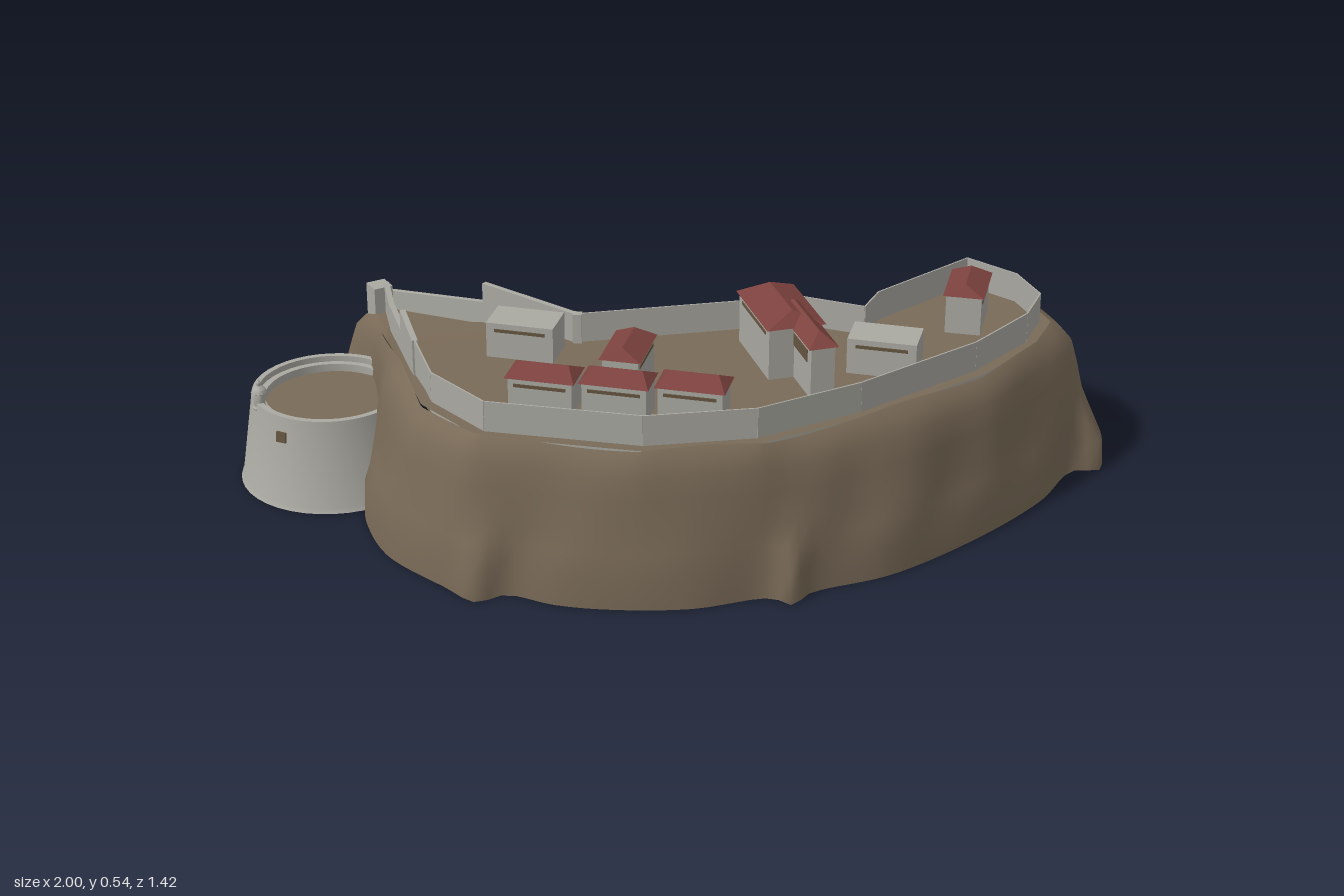
import * as THREE from 'three';
import { toCreasedNormals } from 'three/addons/utils/BufferGeometryUtils.js';

const mat = (name, color) => {
  const m = new THREE.MeshStandardMaterial({ color, side: THREE.DoubleSide });
  m.name = name;
  return m;
};
const rockMat = mat('rock brown', 0x796a57);
const stoneMat = mat('stone grey', 0xa9a8a1);
const roofMat = mat('roof red', 0x7c423e);
const darkMat = mat('opening brown', 0x64543f);

function mesh(parent, name, geo, material, x = 0, y = 0, z = 0) {
  const m = new THREE.Mesh(geo, material);
  m.name = name;
  m.position.set(x, y, z);
  parent.add(m);
  return m;
}

// Foot of the cliff, x and z, clockwise from above
const foot = [
  [-0.93, -0.19], [-0.88, -0.245], [-0.77, -0.235], [-0.72, -0.19], [-0.70, -0.13], [-0.62, -0.085],
  [-0.505, -0.05], [-0.40, 0], [-0.265, -0.04], [-0.16, -0.11], [-0.07, -0.10], [0, -0.19],
  [0.08, -0.24], [0.19, -0.30], [0.30, -0.30], [0.415, -0.29], [0.38, -0.45], [0.415, -0.615],
  [0.5, -0.69], [0.70, -0.71], [0.885, -0.64], [0.965, -0.56], [1.0, -0.45], [0.94, -0.42],
  [0.905, -0.24], [0.81, 0], [0.67, 0.24], [0.525, 0.385], [0.505, 0.45], [0.45, 0.44], [0.30, 0.55],
  [0.135, 0.62], [0, 0.65], [-0.12, 0.65], [-0.17, 0.705], [-0.265, 0.67], [-0.45, 0.59],
  [-0.56, 0.48], [-0.61, 0.40], [-0.71, 0.13], [-0.80, 0.03], [-0.945, -0.01],
];
// Wall line: x, z, then the top height at both ends of the stretch that starts there
const TOP = 0.45;
const wallLine = [
  [-0.79, -0.107, 0.34, 0.40], [-0.47, -0.013, TOP, TOP], [-0.185, 0.07, TOP, TOP],
  [0.28, -0.225, TOP, TOP], [0.445, -0.225, TOP, TOP], [0.45, -0.32, TOP, TOP], [0.595, -0.6, TOP, TOP],
  [0.735, -0.55, TOP, TOP], [0.82, -0.455, TOP, TOP], [0.82, -0.33, TOP, TOP], [0.75, -0.13, TOP, TOP],
  [0.565, 0.175, TOP, TOP], [0.39, 0.385, TOP, TOP], [0.165, 0.515, TOP, TOP], [-0.195, 0.58, TOP, TOP],
  [-0.37, 0.49, TOP, TOP], [-0.48, 0.35, TOP, TOP], [-0.585, 0.205, 0.397, 0.39], [-0.68, 0.075, 0.385, 0.36],
];

// Ground height: level plateau that falls away to the west
const ground = (x) => 0.375 - 0.105 * THREE.MathUtils.clamp((-0.52 - x) / 0.33, 0, 1);

function nearestOnWall(p) {
  let best = null;
  wallLine.forEach((w, i) => {
    const v = wallLine[(i + 1) % wallLine.length];
    const line = new THREE.Line3(new THREE.Vector3(w[0], 0, w[1]), new THREE.Vector3(v[0], 0, v[1]));
    const q = line.closestPointToPoint(p, true, new THREE.Vector3());
    if (!best || q.distanceTo(p) < best.distanceTo(p)) best = q;
  });
  return best;
}

function buildRock(g) {
  const N = 168;
  const curve = new THREE.CatmullRomCurve3(foot.map(([x, z]) => new THREE.Vector3(x, 0, z)), true);
  const base = curve.getSpacedPoints(N).slice(0, N);
  // Softened outline for the upper cliff, so the spurs stay low
  const soft = base.map((_, i) => {
    const s = new THREE.Vector3();
    for (let k = -4; k <= 4; k++) s.add(base[(i + k + N) % N]);
    return s.divideScalar(9);
  });
  const rim = base.map((_, i) => {
    const q = nearestOnWall(soft[i]);
    const d = soft[i].clone().sub(q);
    return q.addScaledVector(d.normalize(), 0.028);
  });
  // [height share, inward share, softening]
  const levels = [[0, 0, 0], [0.2, 0.03, 0.05], [0.36, 0.16, 0.55], [0.5, 0.28, 1], [0.7, 0.42, 1], [0.85, 0.54, 1], [0.95, 0.76, 1], [1, 1, 1]];
  const pos = [], idx = [];
  levels.forEach(([h, s, k], j) => {
    for (let i = 0; i < N; i++) {
      const p = base[i].clone().lerp(soft[i], k).lerp(rim[i], s);
      const ripple = j > 1 && j < 7 ? 0.12 * Math.sin(i * 0.55 + h * 2) * Math.sin(i * 0.21) : 0;
      p.lerp(rim[i], ripple);
      pos.push(p.x, h * (ground(rim[i].x) + 0.006 * Math.sin(i * 0.4)), p.z);
      if (j === levels.length - 1) continue;
      const a = j * N + i, b = j * N + (i + 1) % N;
      idx.push(b, a, a + N, b, a + N, b + N);
    }
  });
  const cliff = new THREE.BufferGeometry();
  cliff.setAttribute('position', new THREE.Float32BufferAttribute(pos, 3));
  cliff.setIndex(idx);
  cliff.computeVertexNormals();
  mesh(g, 'cliff', cliff, rockMat);

  const floor = new THREE.ShapeGeometry(new THREE.Shape(rim.map((p) => new THREE.Vector2(p.x, -p.z))));
  floor.rotateX(-Math.PI / 2);
  const fp = floor.attributes.position;
  for (let i = 0; i < fp.count; i++) fp.setY(i, ground(fp.getX(i)));
  floor.computeVertexNormals();
  mesh(g, 'plateau', floor, rockMat);
}

function buildWalls(g) {
  const walls = new THREE.Group();
  walls.name = 'rampart';
  g.add(walls);
  wallLine.forEach(([x, z, topA, topB], i) => {
    const [x2, z2] = wallLine[(i + 1) % wallLine.length];
    const geo = new THREE.BoxGeometry(Math.hypot(x2 - x, z2 - z), 1, x < -0.45 ? 0.014 : 0.004);
    // Tops and bottoms follow the slope of the ground
    const p = geo.attributes.position;
    for (let k = 0; k < p.count; k++) {
      const atStart = p.getX(k) < 0;
      const low = ground(atStart ? x : x2) - 0.03;
      p.setY(k, p.getY(k) < 0 ? low : atStart ? topA : topB);
    }
    geo.computeVertexNormals();
    mesh(walls, 'wallStretch', geo, stoneMat, (x + x2) / 2, 0, (z + z2) / 2)
      .rotation.y = -Math.atan2(z2 - z, x2 - x);
  });
  // Small posts at the bend and the lower end
  mesh(walls, 'bendPost', new THREE.BoxGeometry(0.022, 0.1, 0.022), stoneMat, -0.185, 0.4, 0.068).rotation.y = 0.3;
  mesh(walls, 'endPost', new THREE.BoxGeometry(0.05, 0.12, 0.05), stoneMat, -0.8, 0.3, -0.088).rotation.y = 0.9;
}

function hipRoof(L, h, W, ridge) {
  const geo = new THREE.BoxGeometry(L, h, W).toNonIndexed();
  const p = geo.attributes.position;
  for (let i = 0; i < p.count; i++) {
    if (p.getY(i) > 0) p.setXYZ(i, p.getX(i) * ridge, h / 2, p.getZ(i) * 0.02);
  }
  geo.computeVertexNormals();
  return geo;
}

// A house with its long side on local x; without a ridge height it has a flat stone roof
function house(g, name, x, z, L, W, yaw, eave, ridge = 0, band = 0.008) {
  const h = new THREE.Group();
  h.name = name;
  h.position.set(x, 0, z);
  h.rotation.y = yaw;
  g.add(h);
  const inset = ridge ? 0.014 : 0;
  const y0 = 0.376;
  mesh(h, 'houseWalls', new THREE.BoxGeometry(L - inset, eave - y0, W - inset), stoneMat, 0, (eave + y0) / 2, 0);
  if (ridge) mesh(h, 'roof', hipRoof(L, ridge - eave, W, 0.7), roofMat, 0, (eave + ridge) / 2, 0);
  for (const s of [-1, 1]) {
    mesh(h, 'windowBand', new THREE.BoxGeometry(L * 0.75, band, 0.004), darkMat, 0, eave - 0.014 - band / 2, s * (W - inset) / 2);
  }
}

function buildBastion(g) {
  const b = new THREE.Group();
  b.name = 'bastion';
  b.position.set(-0.77, 0, 0.25);
  g.add(b);
  const profile = [[0.23, 0], [0.224, 0.012], [0.191, 0.23], [0.176, 0.23], [0.176, 0.215], [0.16, 0.215], [0.16, 0.19]]
    .map(([r, y]) => new THREE.Vector2(r, y));
  mesh(b, 'bastionWall', toCreasedNormals(new THREE.LatheGeometry(profile, 40), 0.5), stoneMat);
  const disc = new THREE.CircleGeometry(0.165, 40).rotateX(-Math.PI / 2);
  mesh(b, 'bastionFloor', disc, rockMat, 0, 0.195, 0);
  // Earth lining, open below
  mesh(b, 'bastionLining', new THREE.CylinderGeometry(0.165, 0.226, 0.194, 40, 1, true), rockMat, 0, 0.098, 0);
  // Gun port on the sloping front
  mesh(b, 'gunPort', new THREE.BoxGeometry(0.026, 0.026, 0.008), darkMat, -0.03, 0.18, 0.197).rotation.x = -0.15;
  // Sentry turret on the rim
  const turret = [[0.001, 0.19], [0.012, 0.205], [0.018, 0.215], [0.014, 0.22], [0.014, 0.25], [0.02, 0.254],
    [0.016, 0.264], [0.005, 0.272], [0.006, 0.28], [0.001, 0.288]].map(([r, y]) => new THREE.Vector2(r, y));
  mesh(b, 'sentryTurret', toCreasedNormals(new THREE.LatheGeometry(turret, 12), 0.6), stoneMat, -0.122, 0, 0.133);
}

export function createModel() {
  const g = new THREE.Group();
  g.name = 'hilltopFort';
  buildRock(g);
  buildWalls(g);
  buildBastion(g);

  // Row of barracks and the house behind them
  for (const [x, z, top] of [[-0.118, 0.415, 0.485], [0.052, 0.385, 0.488], [0.222, 0.345, 0.49]]) {
    house(g, 'barracks', x, z, 0.165, 0.1, 0.14, top - 0.025, top);
  }
  house(g, 'middleHouse', 0.02, 0.247, 0.165, 0.1, 0.14 + Math.PI / 2, 0.475, 0.5);
  house(g, 'eastHouse', 0.655, -0.388, 0.165, 0.1, 0.15 + Math.PI / 2, 0.475, 0.5);
  // Flat-topped stores
  house(g, 'eastStore', 0.547, -0.065, 0.165, 0.1, 0.13, 0.465);
  house(g, 'westStore', -0.278, 0.166, 0.165, 0.1, 0.13, 0.465);
  // Main hall: a broad block with a long narrow wing
  house(g, 'mainHall', 0.297, -0.03, 0.24, 0.145, -0.91, 0.505, 0.535);
  house(g, 'mainHallWing', 0.385, 0.042, 0.26, 0.072, -0.91, 0.503, 0.533, 0.03);
  return g;
}
